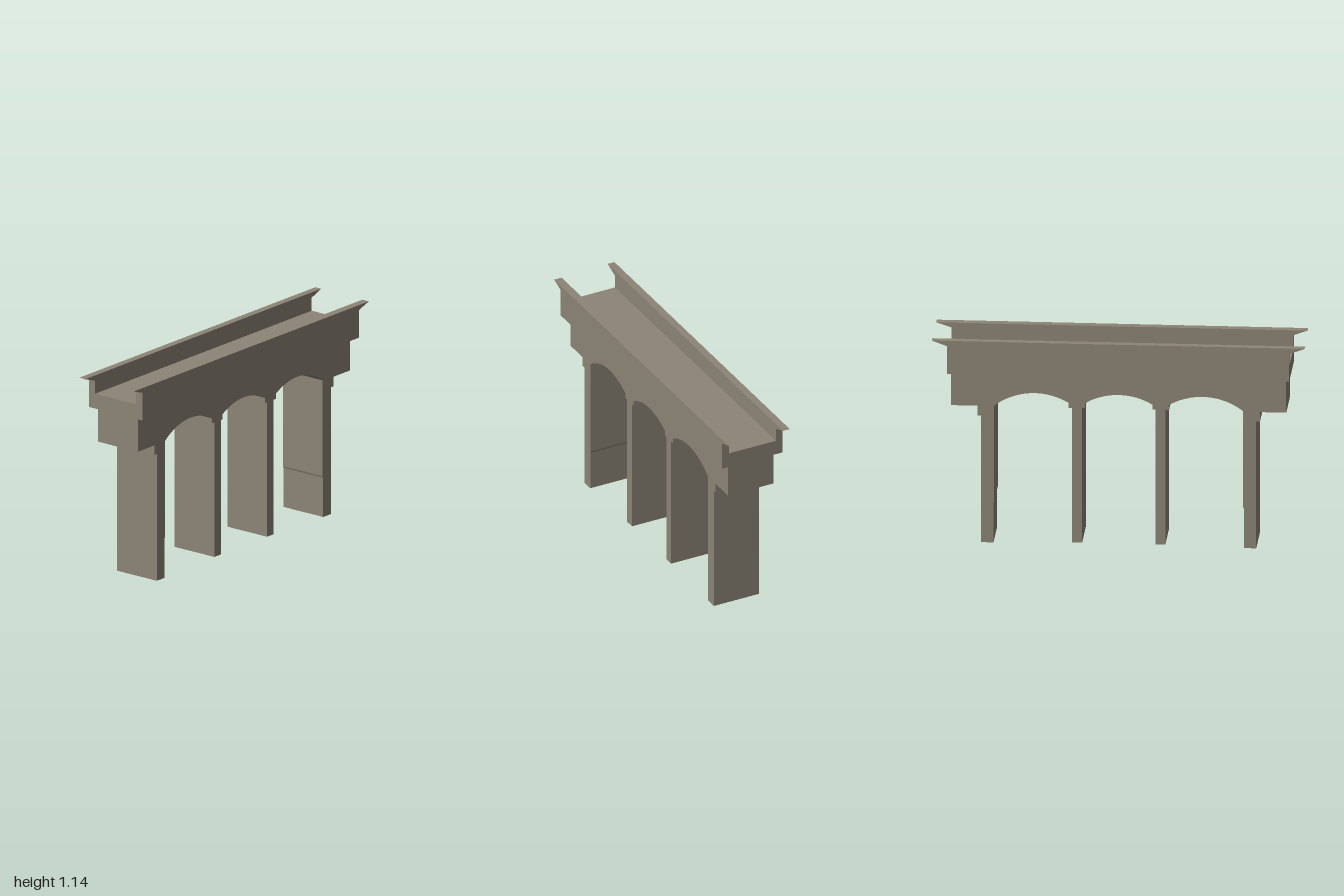
import * as THREE from 'three';

const stone = new THREE.MeshStandardMaterial({ color: 0x8c8476 });
stone.name = 'weathered stone';

// Extrude a shape drawn in (z, y) across the bridge from x0 to x1
function acrossBridge(name, shape, x0, x1) {
  const geo = new THREE.ExtrudeGeometry(shape, { depth: x1 - x0, bevelEnabled: false, curveSegments: 24 });
  geo.rotateY(-Math.PI / 2);
  geo.translate(x1, 0, 0);
  const mesh = new THREE.Mesh(geo, stone);
  mesh.name = name;
  return mesh;
}

const polygon = (pts) => new THREE.Shape(pts.map(([z, y]) => new THREE.Vector2(z, y)));

export function createModel() {
  const group = new THREE.Group();
  group.name = 'aqueduct';

  const left = 0.135, right = -0.139; // faces of piers and arches
  const spring = 0.767, apex = 0.845, radius = 0.35, deckY = 0.957;

  // Arch band: three segmental arches with small imposts over the inner piers
  const band = new THREE.Shape();
  band.moveTo(-0.898, deckY);
  band.lineTo(-0.898, spring);
  const arches = [[-0.45, -0.667, -0.27], [0, -0.18, 0.18], [0.45, 0.27, 0.667]];
  for (const [centre, z0, z1] of arches) {
    const cy = apex - radius;
    const angle = (z) => Math.acos((z - centre) / radius);
    band.lineTo(z0, spring);
    band.absarc(centre, cy, radius, angle(z0), angle(z1), true);
    band.lineTo(z1, spring);
  }
  band.lineTo(0.898, spring);
  band.lineTo(0.898, deckY);
  group.add(acrossBridge('archBand', band, right, left));

  for (const s of [-1, 1]) {
    const end = s > 0 ? 'front' : 'back';

    // End pier, slightly narrowed at the foot, with a corbel on its outer side
    group.add(acrossBridge(end + 'EndPier', polygon([
      [s * 0.737, 0], [s * 0.671, 0], [s * 0.671, 0.22], [s * 0.667, 0.23],
      [s * 0.667, spring], [s * 0.757, spring], [s * 0.757, 0.713], [s * 0.737, 0.713],
    ]), right, left));

    // Inner pier
    group.add(acrossBridge(end + 'InnerPier', polygon([
      [s * 0.25, 0.01], [s * 0.196, 0.01], [s * 0.196, spring], [s * 0.25, spring],
    ]), right, left));
  }

  // Channel floor
  const floor = new THREE.Mesh(new THREE.BoxGeometry(0.283, 1.04 - deckY, 1.834), stone);
  floor.name = 'channelFloor';
  floor.position.set(-0.0035, (1.04 + deckY) / 2, 0);
  group.add(floor);

  // Parapets whose top edge flares out past both ends
  const parapet = (name, x0, x1, top, tip) => acrossBridge(name, polygon([
    [-0.917, deckY], [0.917, deckY], [0.917, 1.113], [tip, top], [-0.998, top], [-0.917, 1.113],
  ]), x0, x1);
  group.add(parapet('rightParapet', -0.186, -0.145, 1.143, 1.0));
  group.add(parapet('leftParapet', 0.138, 0.183, 1.14, 0.992));

  return group;
}
